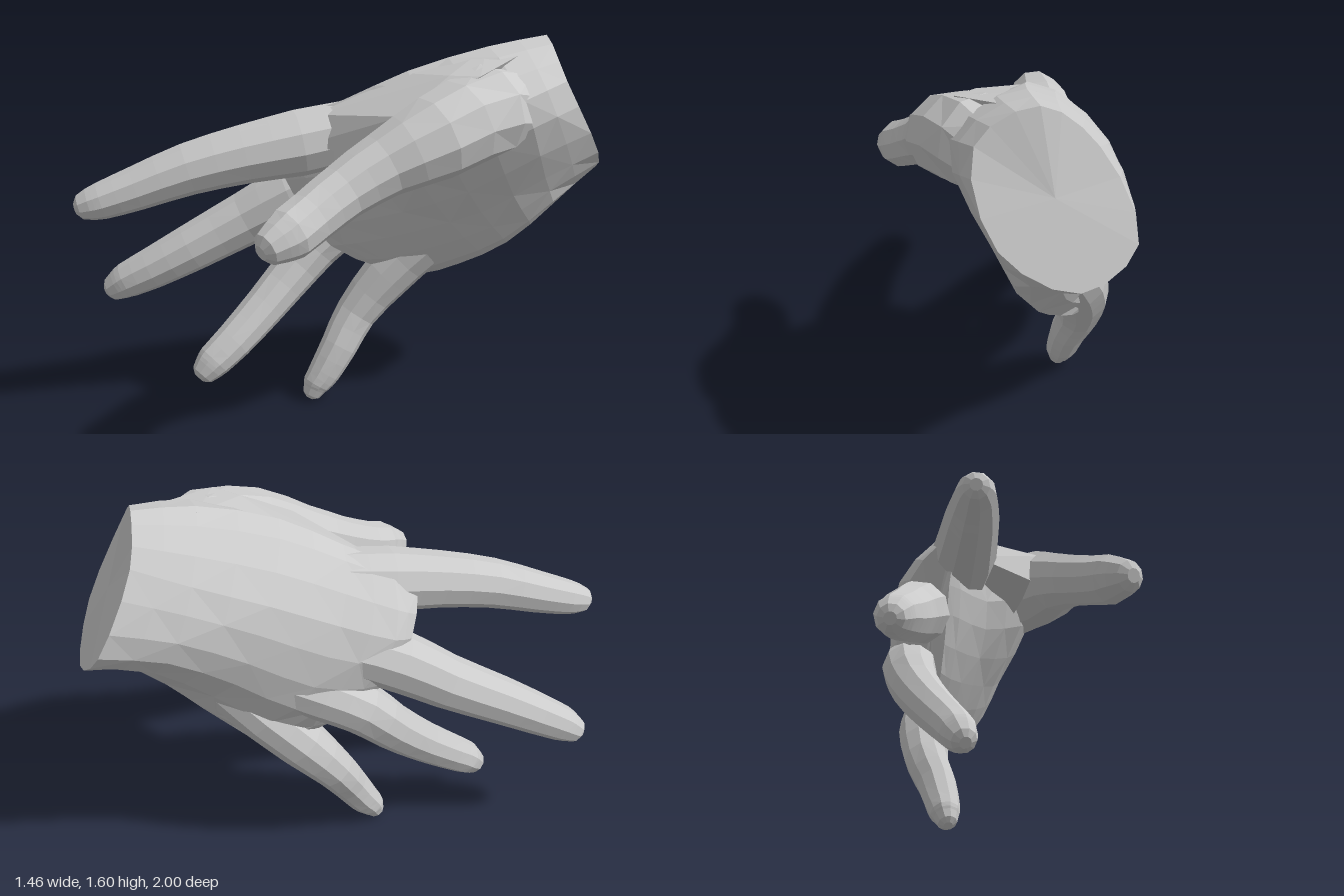
import * as THREE from 'three';
import { ConvexGeometry } from 'three/addons/geometries/ConvexGeometry.js';

const material = new THREE.MeshStandardMaterial({ color: 0xcccccc, flatShading: true });
const V = (p) => new THREE.Vector3(p[0], p[1], p[2]);
const PALM_NORMAL = new THREE.Vector3(0.84, -0.12, 0.52).normalize();

function part(name, geometry) {
  const mesh = new THREE.Mesh(geometry, material);
  mesh.name = name;
  return mesh;
}

// Skin a closed solid over rings of equal point count, with a fan at each end.
function loft(name, rings) {
  const n = rings[0].length, pos = [];
  const tri = (a, b, c) => [a, b, c].forEach((p) => pos.push(p.x, p.y, p.z));
  const centre = (ring) => ring.reduce((s, p) => s.add(p), new THREE.Vector3()).divideScalar(n);
  const first = rings[0], last = rings[rings.length - 1];
  const c0 = centre(first), c1 = centre(last);
  for (let j = 0; j < n; j++) {
    const k = (j + 1) % n;
    for (let i = 0; i < rings.length - 1; i++) {
      const a = rings[i][j], b = rings[i][k], c = rings[i + 1][k], d = rings[i + 1][j];
      if ((i + j) % 2) { tri(a, b, c); tri(a, c, d); } else { tri(a, b, d); tri(b, c, d); }
    }
    tri(c0, first[k], first[j]);
    tri(c1, last[j], last[k]);
  }
  const geometry = new THREE.BufferGeometry();
  geometry.setAttribute('position', new THREE.Float32BufferAttribute(pos, 3));
  geometry.computeVertexNormals();
  return part(name, geometry);
}

// Tapered limb: each station is [x, y, z, radius]; the tip is rounded off.
function limb(name, stations, sides = 10) {
  const curve = new THREE.CatmullRomCurve3(stations.map(V));
  const spans = stations.length - 1, rings = [];
  const addRing = (c, dir, r) => {
    const a = PALM_NORMAL.clone().addScaledVector(dir, -PALM_NORMAL.dot(dir)).normalize();
    const b = dir.clone().cross(a);
    rings.push(Array.from({ length: sides }, (_, j) => {
      const w = (j / sides) * Math.PI * 2;
      return c.clone().addScaledVector(a, r * Math.cos(w)).addScaledVector(b, r * Math.sin(w));
    }));
  };
  for (let i = 0; i <= spans * 2; i++) {
    const t = i / (spans * 2), s = Math.min(Math.floor(i / 2), spans - 1);
    addRing(curve.getPoint(t), curve.getTangent(t),
      THREE.MathUtils.lerp(stations[s][3], stations[s + 1][3], i / 2 - s));
  }
  const end = curve.getPoint(1), dir = curve.getTangent(1), r = stations[spans][3];
  for (const w of [0.7, 1.2]) addRing(end.clone().addScaledVector(dir, r * Math.sin(w)), dir, r * Math.cos(w));
  return loft(name, rings);
}

// Cross-sections from wrist to finger roots:
// index edge, two on the back, little-finger edge, two on the palm.
const palmSections = [
  [[0.48, 1.6, -0.66], [0.32, 1.46, -0.79], [0.29, 1.16, -0.99], [0.5, 1.01, -0.95], [0.71, 1.14, -0.75], [0.69, 1.46, -0.56]],
  [[0.39, 1.57, -0.42], [0.17, 1.38, -0.62], [0.16, 1.1, -0.76], [0.54, 0.89, -0.68], [0.62, 1.05, -0.54], [0.67, 1.41, -0.34]],
  [[0.22, 1.48, -0.14], [0.0, 1.27, -0.38], [0.05, 0.95, -0.53], [0.42, 0.72, -0.54], [0.45, 0.9, -0.35], [0.46, 1.25, -0.1]],
  [[0.05, 1.36, 0.05], [-0.15, 1.15, -0.15], [-0.08, 0.8, -0.33], [0.25, 0.6, -0.43], [0.24, 0.8, -0.2], [0.18, 1.1, 0.02]],
  [[-0.09, 1.28, 0.18], [-0.27, 1.06, 0.04], [-0.15, 0.75, -0.14], [0.1, 0.53, -0.34], [0.03, 0.72, -0.04], [-0.05, 1.03, 0.17]],
  [[-0.15, 1.2, 0.27], [-0.27, 1.03, 0.13], [-0.17, 0.74, -0.03], [0.04, 0.55, -0.25], [-0.06, 0.7, 0.03], [-0.13, 1.01, 0.21]],
];

const limbs = {
  indexFinger: [[0.16, 1.25, -0.22, 0.12], [0.05, 1.22, 0.0, 0.13], [-0.05, 1.185, 0.2, 0.136], [-0.155, 1.15, 0.4, 0.12],
    [-0.265, 1.1, 0.6, 0.106], [-0.37, 1.03, 0.78, 0.09], [-0.44, 0.985, 0.9, 0.076], [-0.465, 0.972, 0.94, 0.066]],
  middleFinger: [[0.08, 1.06, -0.3, 0.12], [-0.08, 1.0, -0.08, 0.13], [-0.22, 0.905, 0.11, 0.13], [-0.345, 0.8, 0.26, 0.116],
    [-0.475, 0.675, 0.46, 0.103], [-0.575, 0.585, 0.6, 0.09], [-0.645, 0.53, 0.685, 0.078], [-0.668, 0.508, 0.713, 0.067]],
  ringFinger: [[0.08, 0.9, -0.34, 0.12], [-0.07, 0.81, -0.18, 0.12], [-0.165, 0.72, -0.05, 0.113], [-0.213, 0.58, 0.085, 0.1],
    [-0.236, 0.43, 0.25, 0.09], [-0.253, 0.3, 0.41, 0.082], [-0.27, 0.23, 0.5, 0.075], [-0.275, 0.205, 0.527, 0.066]],
  littleFinger: [[0.24, 0.84, -0.45, 0.11], [0.11, 0.68, -0.34, 0.115], [0.015, 0.53, -0.225, 0.11], [-0.05, 0.36, -0.1, 0.09],
    [-0.055, 0.23, -0.01, 0.08], [-0.07, 0.12, 0.06, 0.07], [-0.08, 0.07, 0.097, 0.06], [-0.082, 0.05, 0.108, 0.05]],
  thumb: [[0.47, 1.33, -0.56, 0.15], [0.52, 1.35, -0.3, 0.185], [0.51, 1.285, -0.03, 0.168], [0.445, 1.2, 0.18, 0.128],
    [0.41, 1.12, 0.35, 0.11], [0.405, 1.05, 0.5, 0.104], [0.41, 1.01, 0.6, 0.103], [0.41, 0.99, 0.66, 0.085]],
};

// Skin stretched between the thumb and the index knuckle
const thumbWeb = [
  [0.36, 1.56, -0.44], [0.53, 1.55, -0.44], [0.57, 1.51, -0.2], [0.45, 1.5, -0.15], [0.43, 1.37, 0.08], [0.34, 1.19, 0.14],
  [0.14, 1.21, 0.17], [0.0, 1.19, 0.2], [-0.02, 1.3, 0.15], [0.06, 1.36, 0.03], [0.22, 1.47, -0.14], [0.4, 1.15, -0.1],
  [0.15, 1.16, -0.05],
];

export function createModel() {
  const hand = new THREE.Group();
  hand.name = 'hand';

  // Palm and wrist: smooth the sections both around and along the hand.
  const around = palmSections.map((s) => {
    const loop = new THREE.CatmullRomCurve3(s.map(V), true);
    return Array.from({ length: 18 }, (_, j) => loop.getPoint(j / 18));
  });
  const along = around[0].map((_, j) => new THREE.CatmullRomCurve3(around.map((r) => r[j])));
  const rings = Array.from({ length: 11 }, (_, i) => along.map((c) => c.getPoint(i / 10)));
  hand.add(loft('palm', rings));

  // Fingers, thumb and thumb web
  for (const [name, stations] of Object.entries(limbs)) hand.add(limb(name, stations));
  hand.add(part('thumbWeb', new ConvexGeometry(thumbWeb.map(V))));
  return hand;
}
